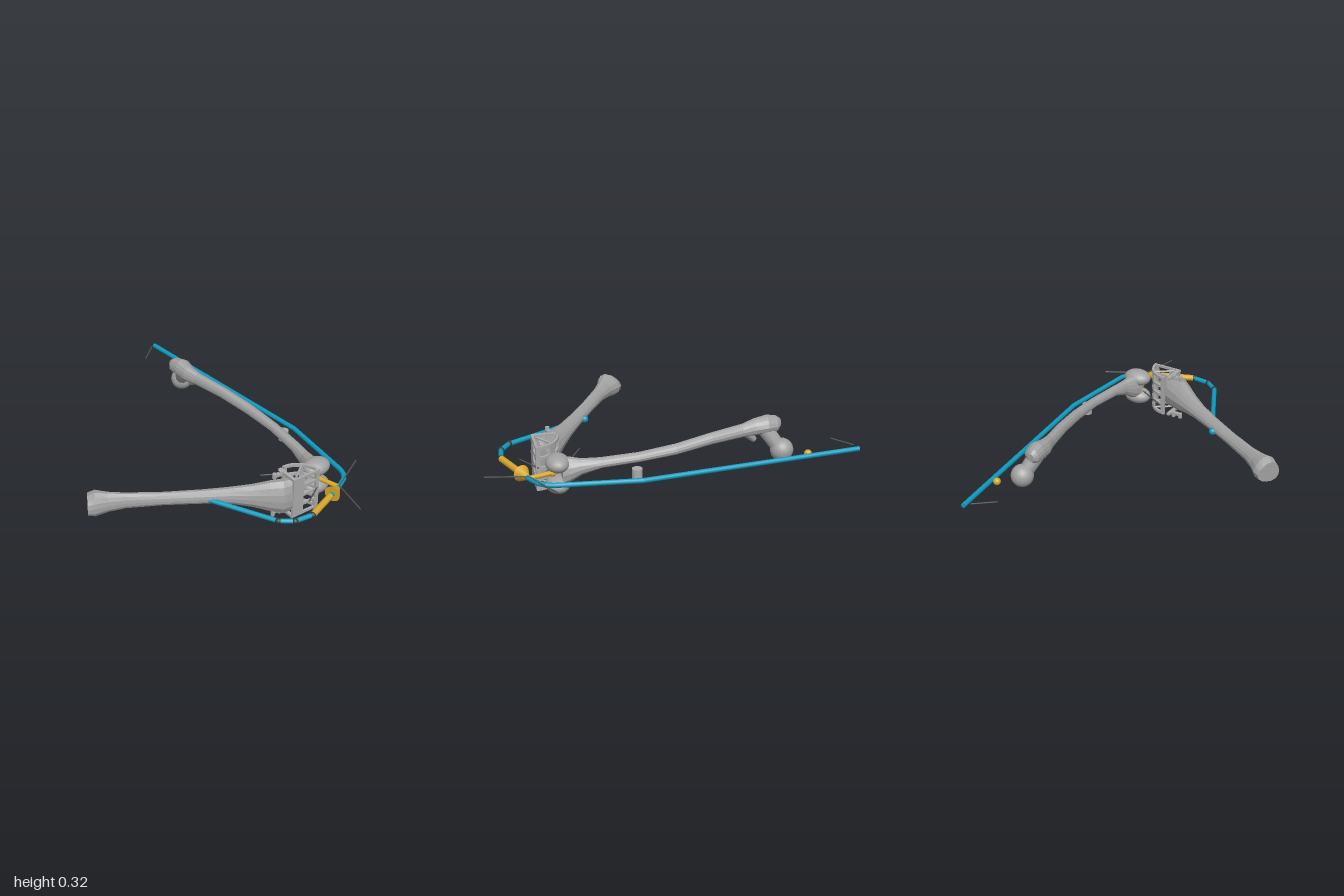
import * as THREE from 'three';

const mat = (name, color) => {
  const m = new THREE.MeshStandardMaterial({ color });
  m.name = name;
  return m;
};

export function createModel() {
  const model = new THREE.Group();
  model.name = 'kneeTendonModel';
  const bone = mat('bone grey', 0xa2a2a2);
  const frameGrey = mat('bracket grey', 0xaaaaaa);
  const blue = mat('cable blue', 0x0c9abd);
  const gold = mat('gold', 0xd6a62c);
  const dark = mat('joint dark', 0x303c44);
  const lineGrey = mat('line grey', 0x555555);
  const Y = 0.14; // height of the cable plane
  const V = (x, z, y = Y) => new THREE.Vector3(x, y, z);

  const add = (name, geo, material, pos, parent = model) => {
    const m = new THREE.Mesh(geo, material);
    m.name = name;
    if (pos) m.position.copy(pos);
    parent.add(m);
    return m;
  };
  const ball = (name, p, r, material) => add(name, new THREE.SphereGeometry(r, 20, 14), material, p);
  // round bar from a to b, tapering from ra to rb
  const rod = (name, a, b, ra, material, rb = ra, sides = 14) => {
    const d = b.clone().sub(a);
    const m = add(name, new THREE.CylinderGeometry(rb, ra, d.length(), sides), material, a.clone().lerp(b, 0.5));
    m.quaternion.setFromUnitVectors(new THREE.Vector3(0, 1, 0), d.normalize());
    return m;
  };

  // faceted bone: rings [along, offset, height, half width, half height] on a level axis
  const loft = (name, origin, u, rings, ridge) => {
    const N = 14, pos = [], idx = [];
    const n = new THREE.Vector3(u.z, 0, -u.x);
    const put = (s, o, y) => {
      const p = origin.clone().addScaledVector(u, s).addScaledVector(n, o);
      pos.push(p.x, y, p.z);
    };
    for (const [s, o, y, w, h] of rings)
      for (let j = 0; j < N; j++) {
        const a = (j / N) * Math.PI * 2;
        const k = 1 + ridge * Math.cos(3 * a + 0.6);
        put(s, o + Math.cos(a) * w * k, y + Math.sin(a) * h * k);
      }
    const first = rings[0], last = rings[rings.length - 1], c = rings.length * N;
    put(first[0], first[1], first[2]);
    put(last[0], last[1], last[2]);
    for (let j = 0; j < N; j++) {
      const k = (j + 1) % N;
      for (let i = 0; i < rings.length - 1; i++) {
        const a = i * N + j, b = i * N + k;
        idx.push(a, b, b + N, a, b + N, a + N);
      }
      idx.push(c, k, j, c + 1, c - N + j, c - N + k);
    }
    let g = new THREE.BufferGeometry();
    g.setAttribute('position', new THREE.Float32BufferAttribute(pos, 3));
    g.setIndex(idx);
    g = g.toNonIndexed();
    g.computeVertexNormals();
    return add(name, g, bone);
  };

  // thigh bone: shaft, hip ball, neck and the two knee condyles
  loft('thighBone', new THREE.Vector3(), new THREE.Vector3(0, 0, 1), [
    [-0.6, 0.372, 0.27, 0.022, 0.022], [-0.575, 0.38, 0.268, 0.046, 0.042],
    [-0.52, 0.388, 0.272, 0.054, 0.05], [-0.45, 0.388, 0.262, 0.044, 0.046],
    [-0.38, 0.405, 0.255, 0.033, 0.037], [-0.2, 0.445, 0.245, 0.031, 0.032],
    [0, 0.484, 0.222, 0.031, 0.029], [0.2, 0.5, 0.205, 0.029, 0.026],
    [0.4, 0.492, 0.19, 0.031, 0.028], [0.5, 0.482, 0.172, 0.035, 0.045],
    [0.56, 0.47, 0.155, 0.05, 0.07], [0.6, 0.46, 0.142, 0.05, 0.085],
  ], 0.06);
  ball('hipBall', V(0.437, -0.593), 0.063, bone);
  rod('hipNeck', V(0.39, -0.51, 0.25), V(0.43, -0.58, 0.15), 0.045, bone, 0.04, 10);
  rod('smallTrochanter', V(0.4, -0.4, 0.25), V(0.4, -0.45, 0.195), 0.03, bone, 0.016, 8);
  for (const y of [0.198, 0.08])
    ball('kneeCondyle', V(0.458, 0.62, y), 1, bone).scale.set(0.082, 0.047, 0.064);

  // shin bone, flaring at both ends
  loft('shinBone', V(-0.68, 0.12), new THREE.Vector3(0.86, 0, 0.51), [
    [0, 0, 0.14, 0.068, 0.058], [0.04, 0, 0.146, 0.07, 0.07], [0.11, 0, 0.148, 0.048, 0.055],
    [0.2, 0, 0.15, 0.036, 0.044], [0.4, 0, 0.15, 0.034, 0.036], [0.6, 0, 0.15, 0.038, 0.038],
    [0.75, 0, 0.15, 0.044, 0.045], [0.87, -0.005, 0.146, 0.055, 0.064],
    [0.96, -0.01, 0.142, 0.066, 0.088], [1.03, -0.014, 0.14, 0.074, 0.1],
    [1.08, 0.0, 0.14, 0.06, 0.098], [1.11, 0.015, 0.14, 0.04, 0.08],
  ], 0.07);

  // open knee bracket: windowed front plate, curved ribs and columns
  const bracket = new THREE.Group();
  bracket.name = 'kneeBracket';
  model.add(bracket);
  const rect = (T, x0, y0, x1, y1) => {
    const s = new T();
    s.moveTo(x0, y0); s.lineTo(x1, y0); s.lineTo(x1, y1); s.lineTo(x0, y1); s.closePath();
    return s;
  };
  const plate = rect(THREE.Shape, 0.22, 0.016, 0.395, 0.264);
  for (let i = 0; i < 4; i++) plate.holes.push(rect(THREE.Path, 0.292, 0.03 + i * 0.059, 0.372, 0.073 + i * 0.059));
  add('frontPlate', new THREE.ExtrudeGeometry(plate, { depth: 0.012, bevelEnabled: false }), frameGrey, V(0, 0.71, 0), bracket);
  // curved band in the level plane, between two angles
  const band = (name, y, h, a0, a1) => {
    const s = new THREE.Shape();
    const cx = 0.255, cz = 0.722, r = 0.14;
    s.absarc(cx, -cz, r, a0, a1, false);
    s.absarc(cx, -cz, r - 0.014, a1, a0, true);
    s.closePath();
    const g = new THREE.ExtrudeGeometry(s, { depth: h, bevelEnabled: false, curveSegments: 16 });
    g.rotateX(-Math.PI / 2);
    add(name, g, frameGrey, V(0, 0, y), bracket);
  };
  for (let i = 0; i < 5; i++) band('curvedRib', 0.016 + i * 0.058, 0.016, 0, 1.6);
  for (const a of [0, 0.7, 1.42]) band('curvedColumn', 0.016, 0.248, a, a + 0.18);
  for (const y of [0.022, 0.258]) {
    rod('bracketSpoke', V(0.25, 0.7, y), V(0.345, 0.63, y), 0.006, frameGrey);
    add('bracketEar', new THREE.BoxGeometry(0.065, 0.014, 0.022), frameGrey, V(0.19, 0.625, y), bracket);
    add('bracketArm', new THREE.BoxGeometry(0.02, 0.014, 0.13), frameGrey, V(0.228, 0.655, y), bracket);
    for (const x of [0.165, 0.21])
      add('earBolt', new THREE.CylinderGeometry(0.012, 0.012, 0.03, 12), frameGrey, V(x, 0.625, y < 0.1 ? 0.015 : 0.26), bracket);
  }

  // cable round the knee, with rounded corners
  const path = [[0.52, -1], [0.645, 0.21], [0.6, 0.66], [0.587, 0.7], [0.56, 0.735], [0.49, 0.775],
    [0.22, 0.882], [0.112, 0.87], [0.042, 0.818], [-0.125, 0.5], [-0.2, 0.36]].map(p => V(...p));
  path.slice(1).forEach((p, i) => {
    rod('cable', path[i], p, 0.0135, blue);
    if (i < 9) ball('cableBend', p, 0.0135, blue);
  });
  for (const i of [6, 7, 8]) ball('cableJoint', path[i], 0.018, dark);
  ball('cableAnchor', path[10], 0.021, blue);

  // gold pull arrow, knee pivot and hip marker
  rod('arrowShaft', V(0.222, 0.881), V(0.4, 0.811), 0.018, gold);
  rod('arrowHead', V(0.42, 0.803), V(0.502, 0.77), 0.045, gold, 0, 20);
  ball('kneePivot', V(0.45, 0.645), 0.021, gold);
  rod('leverArm', V(0.45, 0.645), V(0.49, 0.775), 0.013, gold);
  ball('hipMarker', V(0.516, -0.714), 0.021, gold);

  // guide post beside the thigh
  add('guidePost', new THREE.CylinderGeometry(0.028, 0.028, 0.06, 20), frameGrey, V(0.558, 0.222));

  // thin guide lines
  for (const [a, b, c, d] of [[0.38, -0.89, 0.488, -0.98], [0.205, 0.46, 0.38, 0.56],
    [0.272, 0.79, 0.4, 0.71], [0.49, 0.778, 0.713, 0.657], [0.445, 0.998, 0.49, 0.778]])
    rod('guideLine', V(a, b, 0.15), V(c, d, 0.15), 0.004, lineGrey, 0.004, 6);

  return model;
}
